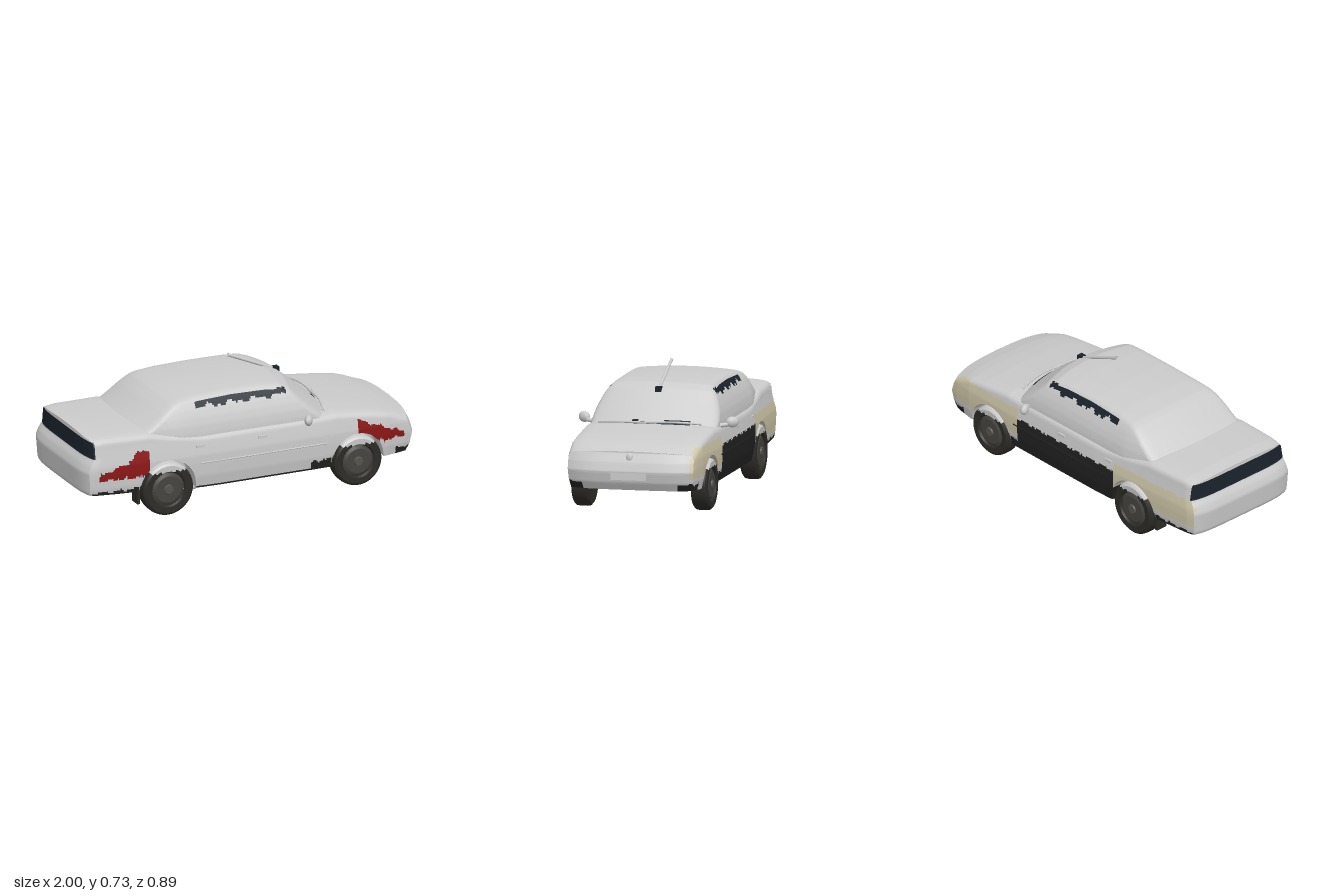
import * as THREE from 'three';
import { toCreasedNormals } from 'three/addons/utils/BufferGeometryUtils.js';

const GREY = 0xcccccc, BLACK = 0x222222, NAVY = 0x1a222c, RED = 0x8c1616, CREAM = 0xcfc7aa, RUBBER = 0x2c2b27;
const NAMES = { [GREY]: 'Panels', [BLACK]: 'BlackPaint', [NAVY]: 'DarkBluePaint', [RED]: 'RedPaint', [CREAM]: 'CreamPaint', [RUBBER]: 'Rubber' };
const WHEELS = [{ x: -0.51, r: 0.15 }, { x: 0.62, r: 0.142 }];
const mats = {};
const mat = (c) => (mats[c] ??= new THREE.MeshStandardMaterial({ color: c, side: THREE.DoubleSide }));

// Piecewise linear profile through [position, value] pairs
function prof(keys, t) {
  if (t <= keys[0][0]) return keys[0][1];
  for (let i = 1; i < keys.length; i++) {
    const [a, va] = keys[i - 1], [b, vb] = keys[i];
    if (t <= b) return va + (vb - va) * (t - a) / (b - a);
  }
  return keys[keys.length - 1][1];
}

// Skin over rows of [x, y, z] points
function skin(rows, closed) {
  const n = rows[0].length, index = [];
  for (let i = 0; i < rows.length - 1; i++)
    for (let j = 0; j < (closed ? n : n - 1); j++) {
      const k = (j + 1) % n, a = i * n + j, b = a + n, c = (i + 1) * n + k, d = i * n + k;
      index.push(a, b, c, a, c, d);
    }
  const g = new THREE.BufferGeometry();
  g.setAttribute('position', new THREE.Float32BufferAttribute(rows.flat(2), 3));
  g.setIndex(index);
  return toCreasedNormals(g, 0.65);
}

// Split a skin into one mesh per paint colour, quad by quad
function painted(name, geo, paint) {
  const group = new THREE.Group(), sets = {};
  group.name = name;
  const p = geo.attributes.position.array, m = geo.attributes.normal.array;
  for (let i = 0; i < p.length; i += 18) {
    const mid = [0, 1, 2].map((k) => (p[i + k] + p[i + 6 + k]) / 2);
    const s = (sets[paint(...mid)] ??= { p: [], m: [] });
    for (let k = i; k < i + 18; k++) { s.p.push(p[k]); s.m.push(m[k]); }
  }
  for (const c in sets) {
    const g = new THREE.BufferGeometry();
    g.setAttribute('position', new THREE.Float32BufferAttribute(sets[c].p, 3));
    g.setAttribute('normal', new THREE.Float32BufferAttribute(sets[c].m, 3));
    const mesh = new THREE.Mesh(g, mat(+c));
    mesh.name = name + NAMES[c];
    group.add(mesh);
  }
  return group;
}

// Lower body profiles along the length
const WIDTH = [[-1, .348], [-.95, .358], [-.6, .373], [-.2, .385], [.4, .381], [.8, .37], [.95, .358], [1, .35]];
const DECK = [[-1, .472], [-.9, .478], [-.62, .474], [-.5, .45], [-.3, .425], [.4, .425], [.5, .427], [.7, .405], [.88, .374], [1, .345]];
const SILL = [[-1, .168], [-.7, .158], [-.6, .14], [-.3, .13], [.5, .13], [.75, .14], [1, .147]];
const FLOOR = [[-1, .168], [-.96, .17], [-.92, .21], [-.68, .21], [-.5, .15], [-.2, .13], [.45, .13], [.58, .2], [.9, .21], [.95, .15], [1, .147]];
const BULGE = [[.13, .955], [.2, .99], [.27, 1], [.32, .998], [.36, .98], [.42, .95], [.48, .925]];
const NOSE = [[.14, .955], [.19, .985], [.25, 1], [.3, .985], [.35, .96]];
const TAIL = [[.15, .97], [.18, .99], [.3, 1], [.34, .985], [.375, .962], [.48, .955]];
const sideZ = (x, y) => prof(WIDTH, x) * prof(BULGE, y);

// Pull the ends of the body into bowed nose and tail shapes
function endWarp(u, y, z) {
  const a = Math.abs(u), e = 0.8;
  if (a <= e) return u;
  const q = Math.abs(z) / 0.35;
  const end = u > 0 ? prof(NOSE, y) - 0.05 * q ** 4 : prof(TAIL, y) - 0.03 * q ** 6;
  return Math.sign(u) * (e + (a - e) / (1 - e) * (end - e));
}

function bodyHalf(u) {
  let b = prof(SILL, u);
  const f = prof(FLOOR, u), t = prof(DECK, u);
  for (const w of WHEELS) { // wheel arches lift the lower edge
    const d = w.r + 0.014, k = d * d - (u - w.x) ** 2;
    if (k > 0) b = Math.max(b, w.r + 0.003 + Math.sqrt(k));
  }
  const pts = [[0, f], [.14, f], [.265, f], [.28, b], [sideZ(u, b) - .015, b]];
  const s = t - 0.03, zs = sideZ(u, s);
  for (let i = 0; i <= 28; i++) { const y = b + (s - b) * i / 28; pts.push([sideZ(u, y), y]); }
  pts.push([zs - .004, t - .018], [zs - .013, t - .008], [zs - .028, t - .002]);
  for (let i = 1; i <= 8; i++) { const q = 1 - i / 8; pts.push([(zs - .028) * q, t + .013 * (1 - q * q)]); }
  return pts;
}

function bodyPaint(x, y, z) {
  const jag = 0.006 * Math.sin(x * 61) + 0.004 * Math.sin(x * 143);
  const side = Math.abs(z);
  if (x < -0.93 && y > 0.375 && y < 0.465 && side < 0.34) return NAVY;
  if (side > 0.27 && y < .18 + jag && (x > .85 || (x > .34 && x < .5) || (x > -.95 && x < -.66))) return BLACK;
  if (z > .29) {
    if (y < .14 && x > -.36 && x < .5) return BLACK;
    if (x < -.62 && x > -.75 && y > .245 && y < .39 - Math.max(0, -.68 - x) * .9 + jag) return RED;
    if (x <= -.75 && x > -.91 && y > .25 - jag && y < .33 + jag + (x + .75) * .3) return RED;
    if (x > .62 && x < .9 && y > .24 + jag && y < .375 - .38 * (x - .62) + jag) return RED;
  }
  if (z < -.29 && x > -.36 && x < .4 && y < .325 + jag / 2) return BLACK;
  if (z < -.335 && (x >= .4 || x <= -.36) && x > -.97 && y > .215 && y < .372 + jag / 3) return CREAM;
  return GREY;
}

// Cabin: roof line over side glass leaning inwards
const ROOF = [[-.72, .45], [-.66, .475], [-.6, .515], [-.52, .572], [-.46, .607], [-.42, .62], [-.3, .634], [-.1, .641], [.1, .638], [.22, .63], [.29, .606], [.34, .566], [.5, .435], [.55, .395]];
const GLASS = [[.38, .357], [.44, .353], [.48, .346], [.52, .333], [.56, .315], [.59, .297], [.62, .274]];
function cabinRow(x) {
  const { smoothstep } = THREE.MathUtils;
  const r = prof(ROOF, x), e = r - 0.034, half = [];
  const taper = 1 - .07 * smoothstep(-x, .4, .66), ze = prof(GLASS, e) * taper;
  for (let i = 0; i <= 22; i++) { const y = .37 + (e - .37) * i / 22; half.push([prof(GLASS, y) * taper, y]); }
  half.push([ze - .007, e + .009], [ze - .018, e + .017], [ze - .035, e + .022]);
  for (let i = 1; i <= 9; i++) { const q = 1 - i / 9; half.push([(ze - .035) * q, e + .022 + .012 * (1 - q * q)]); }
  const bow = smoothstep(x, 0, .4) * -.09 + smoothstep(-x, .3, .6) * .04;
  const full = [...half, ...half.slice(0, -1).reverse().map(([z, y]) => [-z, y])];
  return full.map(([z, y]) => [x + bow * (z / .36) ** 2, y, z]);
}
function cabinPaint(x, y, z) {
  const jag = 0.009 * Math.sin(x * 45) + 0.007 * Math.sin(x * 97);
  if (Math.abs(z) > .255 && x > -.32 && x < .22 && y > .572 + jag && y < .602) return NAVY;
  if (x > .4 && y < .455 && ((z < -.03 && z > -.22) || (z > .02 && z < .09))) return NAVY;
  return GREY;
}

export function createModel() {
  const car = new THREE.Group();
  car.name = 'car';
  const add = (name, geo, color, x = 0, y = 0, z = 0, parent = car) => {
    const m = new THREE.Mesh(geo, mat(color));
    m.name = name;
    m.position.set(x, y, z);
    parent.add(m);
    return m;
  };
  const tube = (pts, r, seg = 24) => new THREE.TubeGeometry(
    new THREE.CatmullRomCurve3(pts.map((p) => new THREE.Vector3(...p))), seg, r, 8);

  // Lower body with nose and tail faces
  const rows = [];
  for (let i = 0; i <= 200; i++) {
    const u = -1 + i / 100, half = bodyHalf(u);
    const full = [...half, ...half.slice(1, -1).reverse().map(([z, y]) => [-z, y])];
    rows.push(full.map(([z, y]) => [endWarp(u, y, z), y, z]));
  }
  car.add(painted('body', skin(rows, true), bodyPaint));
  for (const s of [1, -1]) {
    const cap = bodyHalf(s).slice(4).map(([z, y]) => Array.from({ length: 37 }, (_, k) => {
      const zz = s * z * (k / 18 - 1);
      return [endWarp(s, y, zz), y, zz];
    }));
    car.add(painted(s > 0 ? 'nose' : 'tail', skin(cap, false), bodyPaint));
  }

  // Cabin
  car.add(painted('cabin', skin(Array.from({ length: 128 }, (_, i) => cabinRow(-.72 + i * .01)), false), cabinPaint));

  // Wheels: rounded tyre with overspray on its upper part, dished rim and hub
  for (const { x, r } of WHEELS) for (const s of [1, -1]) {
    const wheel = new THREE.Group();
    wheel.name = 'wheel';
    wheel.position.set(x, r, s * 0.333);
    const outline = [[.0, -.04], [r * .6, -.043], [r * .75, -.045], [r * .9, -.046], [r * .98, -.036], [r, -.02], [r, .02], [r * .98, .036], [r * .9, .046], [r * .78, .045], [r * .68, .044], [r * .63, .034]];
    const ring = (i) => outline.map(([q, h]) => [q * Math.cos(i * Math.PI / 24), q * Math.sin(i * Math.PI / 24), s * h]);
    const tyre = skin(Array.from({ length: 49 }, (_, i) => ring(s * i)), false);
    wheel.add(painted('tyre', tyre, (px, py) => (py > r * .66 ? GREY : RUBBER)));
    for (const [name, a, b, h, c] of [['rim', .5, .64, .036, 0x45443f], ['hub', .16, .2, .044, 0x55544e]]) {
      const disc = add(name, new THREE.CylinderGeometry(r * a, r * b, .012, 28), c, 0, 0, s * h, wheel);
      disc.rotation.x = s * Math.PI / 2;
    }
    car.add(wheel);
  }

  // Side details, mirrored
  for (const s of [1, -1]) {
    const mirror = add('doorMirror', new THREE.IcosahedronGeometry(1, 1), GREY, .306, .437, s * .412);
    mirror.scale.set(.023, .031, .038);
    mirror.rotation.y = s * -.5;
    add('mirrorArm', tube([[.34, .42, s * .35], [.325, .425, s * .39]], .012, 4), GREY);
    for (const x of [.05, -.32]) add('doorHandle', new THREE.BoxGeometry(.05, .014, .012), GREY, x, .37, s * (sideZ(x, .37) + .001));
    const trim = [-.32, -.1, .1, .28, .43].map((x) => [x, .275, s * (sideZ(x, .275) - .002)]);
    add('sideTrim', tube(trim, .005), s > 0 ? GREY : BLACK);
    add('mudFlap', new THREE.BoxGeometry(.014, .085, .07), RUBBER, -.682, .128, s * .325);
  }

  // Roof aerial
  add('aerial', tube([[.3, .598, 0], [.15, .664, -.002], [.015, .722, -.004]], .009), GREY);
  add('aerialBase', new THREE.BoxGeometry(.035, .03, .034), NAVY, .295, .6, 0);

  // Wipers lying along the windscreen base
  add('wiper', tube([[.465, .443, -.28], [.495, .452, -.14], [.502, .449, .02]], .006), GREY);
  add('wiper', tube([[.5, .446, -.02], [.49, .446, .14], [.445, .435, .3]], .006), GREY);

  // Front bumper strip, plate panel and bonnet badge
  add('numberPlate', new THREE.BoxGeometry(.014, .045, .2), GREY, .992, .228, 0);
  add('bonnetBadge', new THREE.SphereGeometry(.014, 12, 8), GREY, .968, .325, 0).scale.set(1, 2, 1.4);

  // Underside: tunnel, beams, axles, tank and exhaust
  const tunnel = add('tunnel', new THREE.CylinderGeometry(.07, .07, .85, 16), GREY, .05, .178, 0);
  tunnel.rotation.z = Math.PI / 2;
  add('rearFloorHump', new THREE.SphereGeometry(1, 24, 12), GREY, -.26, .135, 0).scale.set(.17, .05, .29);
  for (const s of [1, -1]) {
    for (const z of [.12, .2]) add('floorBeam', new THREE.BoxGeometry(.8, .03, .04), GREY, .03, .128, s * z);
    add('suspensionArm', tube([[-.2, .12, s * .2], [-.33, .103, s * .26], [-.51, .14, s * .29]], .022), GREY);
  }
  for (const { x, r } of WHEELS) add('axle', tube([[x, r, -.3], [x, r - .02, 0], [x, r, .3]], .025), RUBBER);
  add('fuelTank', new THREE.BoxGeometry(.16, .05, .36), GREY, -.78, .2, 0);
  add('engineTray', new THREE.BoxGeometry(.2, .08, .34), RUBBER, .64, .17, 0);
  add('exhaust', tube([[.48, .14, .06], [.2, .125, .06], [-.25, .1, .08], [-.5, .165, .13], [-.7, .19, .18], [-.94, .185, .2]], .015, 40), GREY);
  return car;
}
